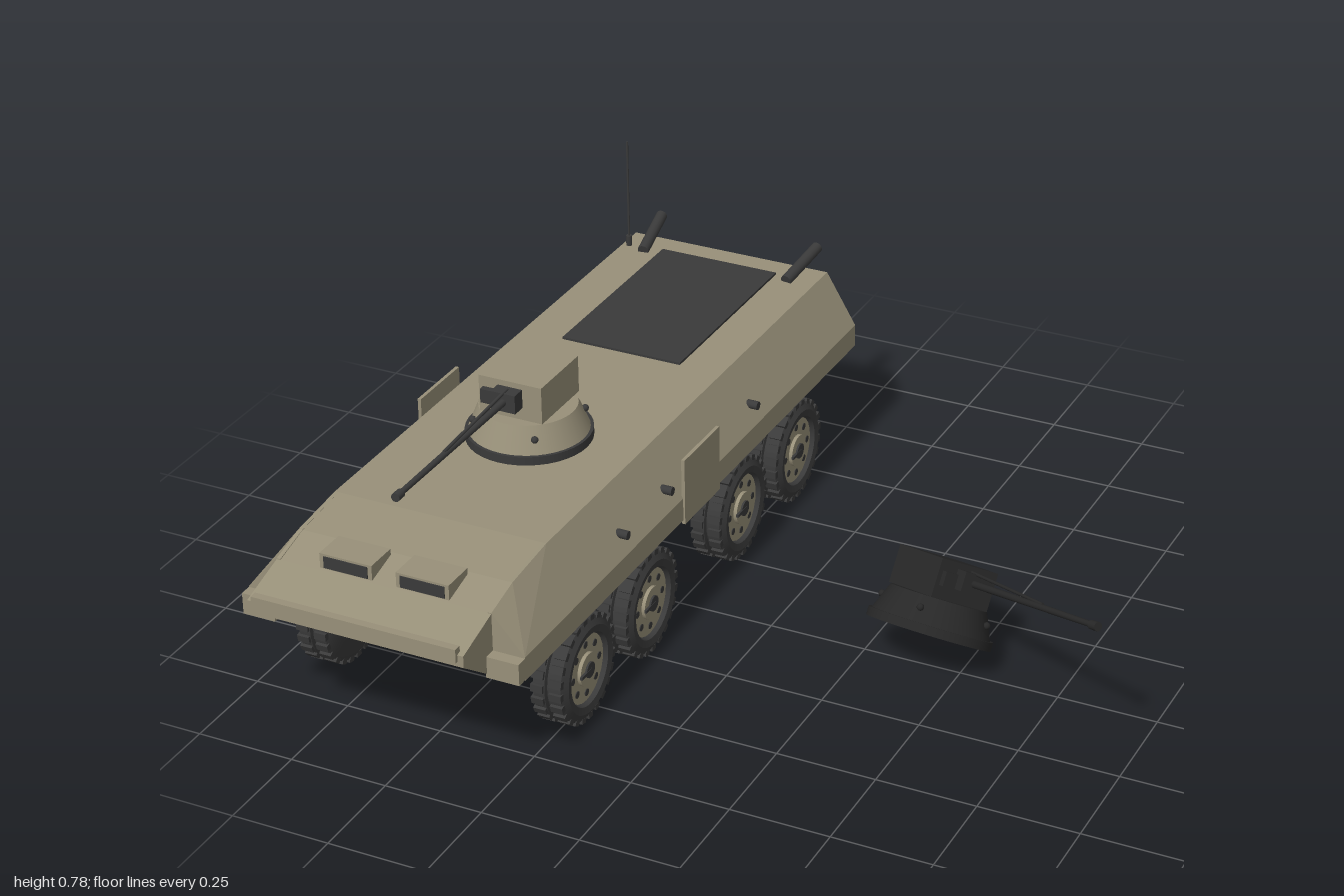
import * as THREE from 'three';
import { mergeGeometries, toCreasedNormals } from 'three/addons/utils/BufferGeometryUtils.js';
import { ConvexGeometry } from 'three/addons/geometries/ConvexGeometry.js';

const tan = new THREE.MeshStandardMaterial({ name: 'tan paint', color: 0x989079 });
const dark = new THREE.MeshStandardMaterial({ name: 'dark rubber and metal', color: 0x3a3a3a });
const burnt = new THREE.MeshStandardMaterial({ name: 'burnt black', color: 0x272727 });

const V = (x, y, z) => new THREE.Vector3(x, y, z);

function add(parent, name, geometry, material, x = 0, y = 0, z = 0) {
  const mesh = new THREE.Mesh(geometry, material);
  mesh.name = name;
  mesh.position.set(x, y, z);
  parent.add(mesh);
  return mesh;
}
const box = (w, h, d) => new THREE.BoxGeometry(w, h, d);

// Tapered rod between two points
function rod(parent, name, a, b, r, material, r2 = r) {
  const dir = b.clone().sub(a);
  const mesh = add(parent, name, new THREE.CylinderGeometry(r2, r, dir.length(), 14), material);
  mesh.position.copy(a).addScaledVector(dir, 0.5);
  mesh.quaternion.setFromUnitVectors(V(0, 1, 0), dir.normalize());
  return mesh;
}

// Side profile of [z, y] points given a width across x
function slab(points, width) {
  const shape = new THREE.Shape(points.map(([z, y]) => new THREE.Vector2(z, y)));
  const geo = new THREE.ExtrudeGeometry(shape, { depth: width, bevelEnabled: false });
  return geo.rotateY(-Math.PI / 2).translate(width / 2, 0, 0);
}

// Turret with its ring at y = 0 and its gun along +z
function makeTurret(name, paint, metal) {
  const g = new THREE.Group();
  g.name = name;
  add(g, 'turretRing', new THREE.CylinderGeometry(0.155, 0.155, 0.022, 40), metal, 0, 0.011, 0);
  add(g, 'turretBase', new THREE.CylinderGeometry(0.12, 0.148, 0.068, 40), paint, 0, 0.054, 0);
  add(g, 'turretHousing', box(0.168, 0.095, 0.185), paint, 0, 0.136, -0.006);
  add(g, 'mantlet', box(0.065, 0.048, 0.045), metal, 0, 0.145, 0.1);
  add(g, 'sight', box(0.035, 0.036, 0.025), metal, -0.055, 0.138, 0.09);
  rod(g, 'barrel', V(0, 0.145, 0.11), V(0, 0.145, 0.6), 0.009, metal, 0.007);
  rod(g, 'muzzle', V(0, 0.145, 0.595), V(0, 0.145, 0.62), 0.011, metal);
  rod(g, 'barrelBrace', V(0, 0.17, 0.1), V(0, 0.152, 0.4), 0.004, metal);
  for (const a of [0.6, 2.2, 3.9, 5.4])
    add(g, 'turretBolt', new THREE.SphereGeometry(0.009, 10, 8), metal,
      0.136 * Math.sin(a), 0.058, 0.136 * Math.cos(a));
  return g;
}

// Tyre with a centre groove and two rows of lugs; the outer face looks along +x
const tyreGeometry = toCreasedNormals(new THREE.LatheGeometry([
  [0, -0.044], [0.11, -0.047], [0.13, -0.036], [0.13, -0.006], [0.12, -0.004], [0.12, 0.004],
  [0.13, 0.006], [0.13, 0.036], [0.11, 0.047], [0.092, 0.044], [0.088, 0.025], [0, 0.025],
].map(([r, y]) => new THREE.Vector2(r, y)), 40), 0.6).rotateZ(-Math.PI / 2);

const lugs = [];
for (let i = 0; i < 24; i++)
  for (const s of [-1, 1])
    lugs.push(box(0.032, 0.014, 0.019).translate(s * 0.024, 0.13, 0)
      .rotateX(((i + s * 0.2) / 24) * Math.PI * 2));
const lugGeometry = mergeGeometries(lugs);

function makeWheel() {
  const g = new THREE.Group();
  g.name = 'wheel';
  add(g, 'tyre', tyreGeometry, dark);
  add(g, 'treadLugs', lugGeometry, dark);
  const disc = (name, r, len, mat, x, y = 0, z = 0) =>
    add(g, name, new THREE.CylinderGeometry(r, r, len, 24).rotateZ(-Math.PI / 2), mat, x, y, z);
  disc('rim', 0.087, 0.012, tan, 0.027);
  disc('hub', 0.042, 0.012, tan, 0.036);
  disc('hubCap', 0.02, 0.012, dark, 0.041);
  add(g, 'hubBar', box(0.006, 0.008, 0.05), dark, 0.045, 0, 0.02);
  for (let i = 0; i < 8; i++) {
    const a = (i / 8) * Math.PI * 2;
    disc('rimHole', 0.009, 0.004, dark, 0.033, 0.065 * Math.sin(a), 0.065 * Math.cos(a));
  }
  return g;
}

export function createModel() {
  const model = new THREE.Group();
  model.name = 'armouredCarrier';
  const car = new THREE.Group();
  car.name = 'vehicle';
  car.position.x = -0.563;
  model.add(car);

  // Hull
  add(car, 'upperHull', slab([[-0.94, 0.482], [-0.975, 0.3], [-0.88, 0.28], [0.88, 0.29], [0.99, 0.37],
    [0.99, 0.4], [0.86, 0.438], [0.76, 0.465], [0.6, 0.482]], 0.56), tan);
  add(car, 'lowerHull', slab([[-0.9, 0.3], [-0.82, 0.145], [0.68, 0.145], [0.97, 0.368]], 0.475), tan);
  add(car, 'trimVane', box(0.53, 0.035, 0.02), tan, 0, 0.4, 0.988);

  // Sloped flanks and the fittings found on both sides
  for (const s of [-1, 1]) {
    const pts = [];
    for (const [z, top] of [[-0.94, 0.482], [0.6, 0.482], [0.76, 0.466], [0.86, 0.44]])
      pts.push(V(s * 0.27, top, z), V(s * 0.28, top, z), V(s * 0.362, 0.345, z),
        V(s * 0.362, 0.285, z), V(s * 0.27, 0.285, z));
    add(car, 'flank', new ConvexGeometry(pts), tan);
    add(car, 'flankTip', box(0.085, 0.055, 0.035), tan, s * 0.3195, 0.315, 0.873);
    add(car, 'sideDoor', box(0.009, 0.175, 0.19), tan, s * 0.3625, 0.362, -0.025);
    for (const z of [-0.355, 0.12, 0.35])
      add(car, 'firingPort', new THREE.CylinderGeometry(0.011, 0.011, 0.03, 14).rotateZ(Math.PI / 2),
        dark, s * 0.345, 0.39, z);

    // Driver hatches, rear lamps and exhausts
    add(car, 'hatch', box(0.137, 0.045, 0.085), tan, s * 0.1, 0.456, 0.81);
    add(car, 'hatchWindow', box(0.115, 0.03, 0.006), dark, s * 0.1, 0.458, 0.852);
    add(car, 'rearLamp', box(0.05, 0.032, 0.03), dark, s * 0.29, 0.335, -0.966);
    rod(car, 'exhaust', V(s * 0.208, 0.487, -0.84), V(s * 0.228, 0.522, -0.99), 0.015, dark);

    for (const z of [0.555, 0.228, -0.276, -0.603]) {
      const wheel = makeWheel();
      wheel.position.set(s * 0.315, 0.137, z);
      if (s < 0) wheel.rotation.y = Math.PI;
      car.add(wheel);
    }
  }

  // Axles
  for (const z of [0.555, 0.228, -0.276, -0.603])
    rod(car, 'axle', V(-0.28, 0.137, z), V(0.28, 0.137, z), 0.016, dark);

  // Engine grille, rear port and antenna
  add(car, 'engineGrille', box(0.33, 0.008, 0.56), dark, 0, 0.484, -0.59);
  add(car, 'rearPort', new THREE.CylinderGeometry(0.052, 0.052, 0.02, 28).rotateX(Math.PI / 2),
    dark, 0, 0.328, -0.975);
  rod(car, 'antennaBase', V(-0.262, 0.48, -0.865), V(-0.262, 0.51, -0.865), 0.008, dark);
  rod(car, 'antenna', V(-0.262, 0.5, -0.865), V(-0.262, 0.78, -0.865), 0.003, dark);

  // Mounted turret
  const turret = makeTurret('turret', tan, dark);
  turret.position.set(0, 0.484, 0.165);
  car.add(turret);

  // Burnt turret lying tilted beside the vehicle
  const wreck = makeTurret('burntTurret', burnt, burnt);
  const up = V(0.065, 0.84, -0.54).normalize();
  const right = up.clone().cross(V(0.81, 0.27, 0.52)).normalize();
  wreck.quaternion.setFromRotationMatrix(
    new THREE.Matrix4().makeBasis(right, up, right.clone().cross(up)));
  wreck.position.set(0.415, 0.09, 0);
  model.add(wreck);

  return model;
}
